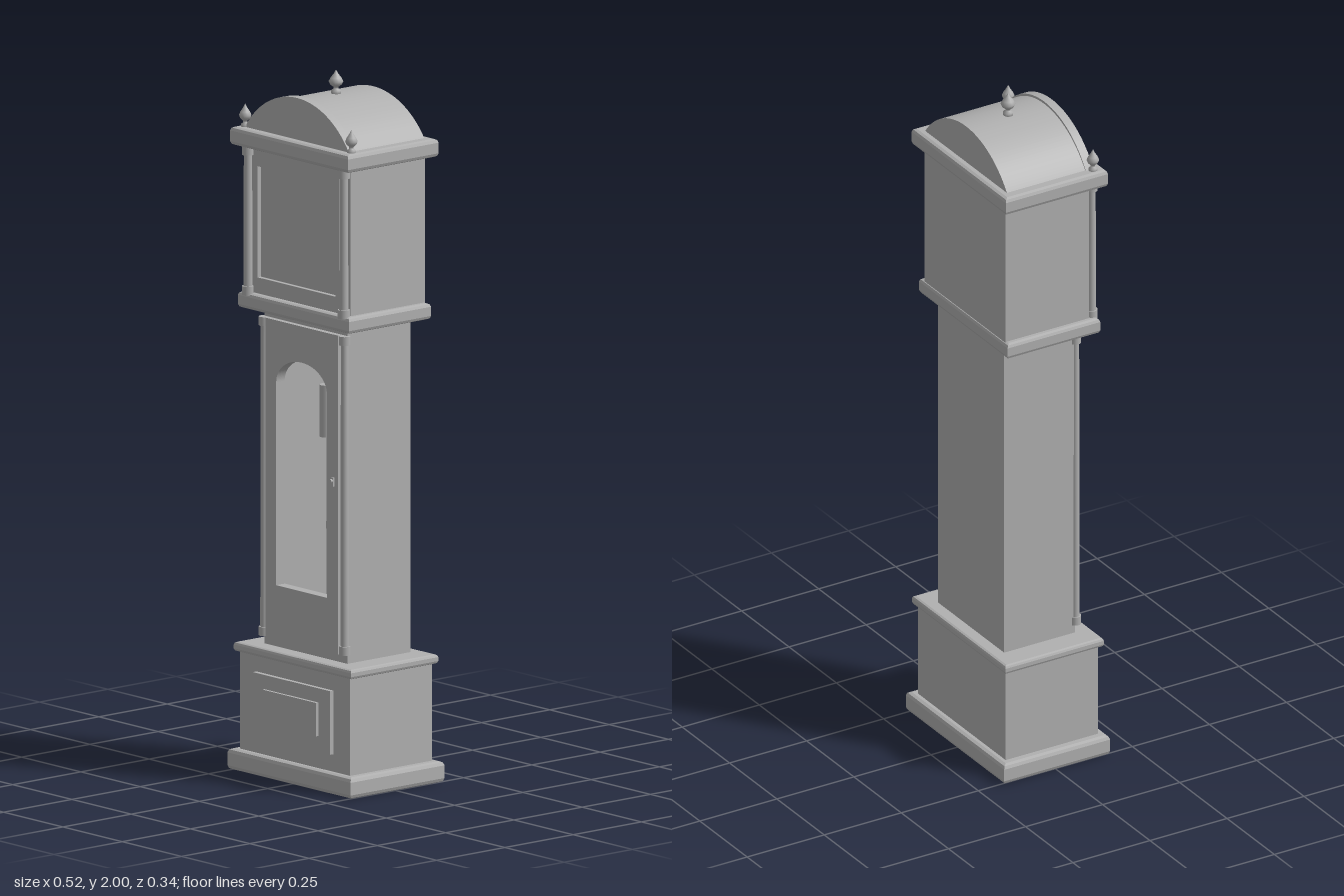
import * as THREE from 'three';

const wood = new THREE.MeshStandardMaterial({ color: 0xb0b0b0 });
wood.name = 'plain grey';

export function createModel() {
  const clock = new THREE.Group();
  clock.name = 'longcaseClock';

  const add = (name, geometry, x = 0, y = 0, z = 0) => {
    const mesh = new THREE.Mesh(geometry, wood);
    mesh.name = name;
    mesh.position.set(x, y, z);
    clock.add(mesh);
    return mesh;
  };

  // Box given by its limits
  const box = (name, x0, x1, y0, y1, z0, z1) =>
    add(name, new THREE.BoxGeometry(x1 - x0, y1 - y0, z1 - z0),
      (x0 + x1) / 2, (y0 + y1) / 2, (z0 + z1) / 2);

  const rectangle = (path, x0, x1, y0, y1) =>
    path.moveTo(x0, y0).lineTo(x1, y0).lineTo(x1, y1).lineTo(x0, y1).closePath();

  // Horizontal moulding with bevelled edges
  const moulding = (name, hx, y0, y1, z0, z1, bevel) => {
    const shape = rectangle(new THREE.Shape(), -hx + bevel, hx - bevel, -z1 + bevel, -z0 - bevel);
    const g = new THREE.ExtrudeGeometry(shape, {
      depth: y1 - y0 - 2 * bevel, bevelEnabled: true,
      bevelThickness: bevel, bevelSize: bevel, bevelSegments: 2,
    });
    g.rotateX(-Math.PI / 2);
    add(name, g, 0, y0 + bevel, 0);
  };

  const slab = (name, shape, z0, z1, y = 0) =>
    add(name, new THREE.ExtrudeGeometry(shape, {
      depth: z1 - z0, bevelEnabled: false, curveSegments: 32,
    }), 0, y, z0);

  const lathe = (name, points, sides, x, y, z) =>
    add(name, new THREE.LatheGeometry(points.map(p => new THREE.Vector2(...p)), sides), x, y, z);

  // Base with raised front panels
  moulding('plinth', 0.26, 0, 0.06, -0.172, 0.172, 0.012);
  box('base', -0.232, 0.232, 0.055, 0.345, -0.15, 0.15);
  box('basePanel', -0.163, 0.163, 0.11, 0.29, 0.15, 0.163);
  box('baseInnerPanel', -0.113, 0.113, 0.155, 0.25, 0.163, 0.172);
  moulding('baseMoulding', 0.247, 0.335, 0.362, -0.16, 0.16, 0.008);

  // Hollow trunk
  box('trunkBack', -0.175, 0.175, 0.36, 1.315, -0.12, -0.1);
  for (const s of [-1, 1]) {
    box('trunkSide', s * 0.165 - 0.01, s * 0.165 + 0.01, 0.36, 1.315, -0.1, 0.11);
  }

  // Trunk front and door share an arched opening
  const archedPanel = (hx, y0, y1) => {
    const shape = rectangle(new THREE.Shape(), -hx, hx, y0, y1);
    const hole = new THREE.Path();
    hole.moveTo(-0.107, 0.54).lineTo(0.107, 0.54).lineTo(0.107, 1.115);
    hole.absellipse(0, 1.115, 0.107, 0.073, 0, Math.PI, false, 0);
    hole.closePath();
    shape.holes.push(hole);
    return shape;
  };
  slab('trunkFront', archedPanel(0.155, 0.36, 1.315), 0.095, 0.11);
  slab('trunkDoor', archedPanel(0.153, 0.387, 1.29), 0.11, 0.126);
  box('doorPlate', 0.128, 0.138, 0.86, 0.886, 0.126, 0.13);
  const knob = add('doorKnob', new THREE.CylinderGeometry(0.006, 0.004, 0.012, 12), 0.133, 0.876, 0.132);
  knob.rotation.x = Math.PI / 2;

  // Turned column with a wider foot and capital
  const column = (name, x, z, y0, y1, r, end) => {
    const h = y1 - y0;
    add(name + 'Shaft', new THREE.CylinderGeometry(r * 0.88, r, h, 16), x, y0 + h / 2, z);
    for (const [part, y] of [['Foot', y0 + 0.0125], ['Capital', y1 - 0.0125]]) {
      add(name + part, new THREE.CylinderGeometry(end, end, 0.025, 16), x, y, z);
    }
  };
  for (const s of [-1, 1]) {
    column('trunkColumn', s * 0.169, 0.115, 0.387, 1.29, 0.012, 0.016);
    column('hoodColumn', s * 0.202, 0.147, 1.35, 1.772, 0.013, 0.017);
  }

  // Pendulum and weights
  add('pendulumRod', new THREE.CylinderGeometry(0.004, 0.004, 0.58, 8), 0, 1.02, -0.02);
  const bob = add('pendulumBob', new THREE.CylinderGeometry(0.056, 0.056, 0.016, 32), 0, 0.7, -0.02);
  bob.rotation.x = Math.PI / 2;
  for (const s of [-1, 1]) {
    add('weight', new THREE.CylinderGeometry(0.019, 0.019, 0.147, 20), s * 0.075, 1.018, -0.03);
    add('weightCord', new THREE.CylinderGeometry(0.002, 0.002, 0.22, 6), s * 0.075, 1.2, -0.03);
  }

  // Hood with framed dial door
  moulding('waistMoulding', 0.234, 1.31, 1.356, -0.145, 0.156, 0.01);
  box('hood', -0.214, 0.214, 1.35, 1.78, -0.14, 0.132);
  const frame = rectangle(new THREE.Shape(), -0.18, 0.18, 1.36, 1.77);
  frame.holes.push(rectangle(new THREE.Path(), -0.165, 0.165, 1.405, 1.72));
  slab('dialFrame', frame, 0.132, 0.145);
  moulding('cornice', 0.249, 1.77, 1.822, -0.16, 0.172, 0.011);

  // Arched roof and pediment
  const archSegment = (hx, rise) => {
    const r = (hx * hx + rise * rise) / (2 * rise);
    const a = Math.asin(hx / r);
    const shape = new THREE.Shape();
    shape.moveTo(hx, 0);
    shape.absarc(0, rise - r, r, Math.PI / 2 - a, Math.PI / 2 + a, false);
    return shape.closePath();
  };
  slab('archedRoof', archSegment(0.217, 0.113), -0.136, 0.118, 1.82);
  slab('pediment', archSegment(0.22, 0.12), 0.118, 0.143, 1.82);

  // Turned finials
  const finial = (x, y, z, w) => lathe('finial', [
    [0, -0.005], [0.7 * w, -0.005], [0.7 * w, 0.008], [0.35 * w, 0.013], [0.35 * w, 0.018],
    [0.8 * w, 0.025], [w, 0.034], [0.75 * w, 0.044], [0.3 * w, 0.056], [0, 0.067],
  ], 16, x, y, z);
  finial(0, 1.933, 0, 0.0205);
  for (const s of [-1, 1]) finial(s * 0.224, 1.82, 0.138, 0.0175);

  return clock;
}
